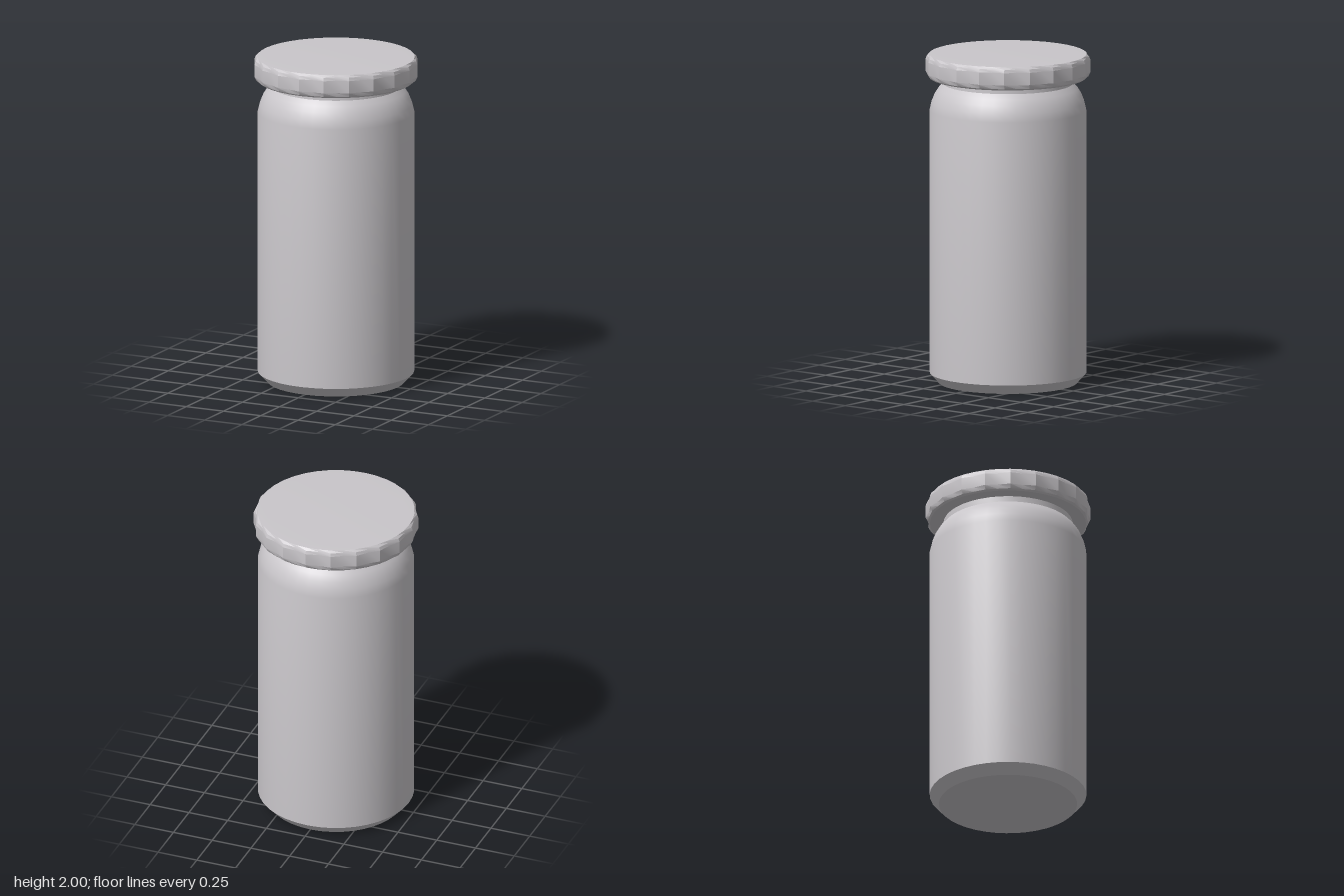
import * as THREE from 'three';
import { toCreasedNormals } from 'three/addons/utils/BufferGeometryUtils.js';

const SIDES = 40;

// Closed turned solid from [radius, height] pairs, listed bottom to top
function turned(profile) {
  return new THREE.LatheGeometry(profile.map(([r, y]) => new THREE.Vector2(r, y)), SIDES);
}

function addMesh(group, name, geometry, material, crease) {
  const mesh = new THREE.Mesh(toCreasedNormals(geometry, crease), material);
  mesh.name = name;
  group.add(mesh);
}

export function createModel() {
  const group = new THREE.Group();
  group.name = 'jar';
  const grey = new THREE.MeshStandardMaterial({ color: 0xc9c6ca });
  grey.name = 'pale grey';

  // Straight body with a bevelled foot, rounded shoulder and short neck
  addMesh(group, 'jarBody', turned([
    [0, 0], [0.415, 0], [0.47, 0.06], [0.47, 1.66], [0.458, 1.71],
    [0.44, 1.755], [0.418, 1.79], [0.39, 1.82], [0.387, 1.87], [0, 1.87],
  ]), grey, 0.45);

  // Lid with twenty crimps around its rim
  const lid = turned([
    [0, 1.856], [0.468, 1.856], [0.482, 1.865], [0.495, 1.89],
    [0.495, 1.965], [0.487, 1.985], [0.472, 1.998], [0.42, 2], [0, 2],
  ]);
  const p = lid.attributes.position;
  for (let i = 0; i < p.count; i++) {
    const x = p.getX(i), z = p.getZ(i), r = Math.hypot(x, z);
    const step = Math.round(Math.atan2(x, z) / (2 * Math.PI / SIDES));
    // Every second corner of the outer wall is pressed inwards
    if (r > 0.475 && step % 2 !== 0) {
      const k = (r - (r - 0.472) * 0.57) / r;
      p.setX(i, x * k);
      p.setZ(i, z * k);
    }
  }
  addMesh(group, 'crimpedLid', lid, grey, 0.35);

  return group;
}
